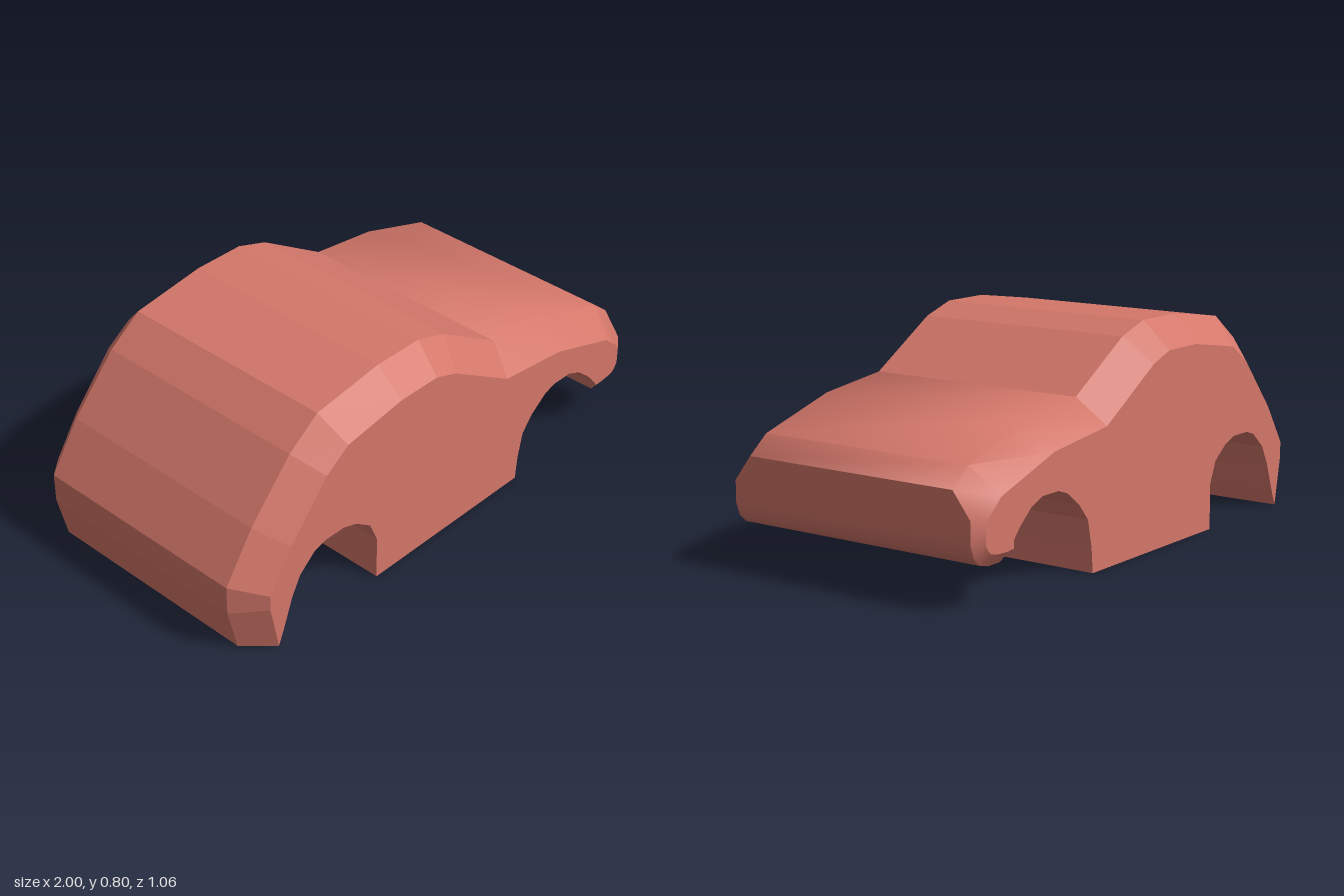
import * as THREE from 'three';
import { toCreasedNormals } from 'three/addons/utils/BufferGeometryUtils.js';

const HALF = 0.53; // half width at the flat sides

// Stations along the shell: [outer x, outer y, outer half width, side x, side y]
const cabin = [
  [-0.865, 0, 0.43, -0.865, 0],
  [-0.96, 0, 0.43, -0.865, 0],
  [-1, 0.17, 0.43, -0.9, 0.18],
  [-1, 0.28, 0.43, -0.9, 0.24],
  [-0.88, 0.46, 0.43, -0.8, 0.39],
  [-0.7, 0.66, 0.43, -0.63, 0.585],
  [-0.57, 0.755, 0.43, -0.53, 0.655],
  [-0.28, 0.797, 0.43, -0.27, 0.697],
  [-0.08, 0.797, 0.43, -0.095, 0.697],
  [0.05, 0.755, 0.43, 0.005, 0.662],
  [0.33, 0.585, 0.43, 0.29, 0.49],
];
const nose = [
  cabin[cabin.length - 1],
  [0.61, 0.55, 0.43, 0.59, 0.455],
  [0.92, 0.455, 0.43, 0.88, 0.36],
  [1, 0.39, 0.43, 0.96, 0.29],
  [1, 0.3, 0.5, 0.96, 0.285],
  [1, 0.22, 0.5, 0.96, 0.22],
  [0.985, 0.177, 0.5, 0.95, 0.2],
  [0.955, 0.148, 0.5, 0.935, 0.185],
  [0.91, 0.137, 0.5, 0.9, 0.178],
  [0.85, 0.137, 0.5, 0.84, 0.175],
  [0.835, 0.18, 0.5, 0.835, 0.18],
];
// Wheel arches and floor, front to rear
const under = [
  [0.835, 0.18], [0.82, 0.2], [0.78, 0.245], [0.72, 0.295], [0.66, 0.32],
  [0.57, 0.32], [0.52, 0.303], [0.45, 0.25], [0.4, 0.19], [0.378, 0.09], [0.37, 0],
  [-0.385, 0], [-0.385, 0.17], [-0.42, 0.25], [-0.49, 0.3], [-0.55, 0.32],
  [-0.64, 0.32], [-0.69, 0.305], [-0.76, 0.245], [-0.8, 0.17], [-0.84, 0.06], [-0.865, 0],
];

// Joins successive rows of points (ordered by rising z) into a surface
function loft(rows) {
  const pos = [];
  for (let i = 0; i < rows.length - 1; i++) {
    for (let j = 0; j < rows[i].length - 1; j++) {
      const a = rows[i][j], b = rows[i][j + 1], c = rows[i + 1][j + 1], d = rows[i + 1][j];
      pos.push(...a, ...b, ...c, ...a, ...c, ...d);
    }
  }
  const g = new THREE.BufferGeometry();
  g.setAttribute('position', new THREE.Float32BufferAttribute(pos, 3));
  g.computeVertexNormals();
  return g;
}

const ring = ([ox, oy, oz, sx, sy]) =>
  [[sx, sy, -HALF], [ox, oy, -oz], [ox, oy, oz], [sx, sy, HALF]];

export function createModel() {
  const model = new THREE.Group();
  model.name = 'carBody';
  const paint = new THREE.MeshStandardMaterial({ color: 0xd4776a });
  paint.name = 'coralRed';
  const add = (name, geometry, x = 0, y = 0, z = 0) => {
    const mesh = new THREE.Mesh(geometry, paint);
    mesh.name = name;
    mesh.position.set(x, y, z);
    model.add(mesh);
    return mesh;
  };

  // Faceted cabin, softly shaded hood and bumper, arched underside
  add('cabinShell', loft(cabin.map(ring)));
  add('hoodAndBumper', toCreasedNormals(loft(nose.map(ring)), 0.85));
  add('underside', loft(under.map(([x, y]) => [[x, y, -HALF], [x, y, HALF]])));

  // Flat side panels
  const outline = [
    ...cabin.slice(1).map((s) => [s[3], s[4]]),
    ...nose.slice(1, -1).map((s) => [s[3], s[4]]),
    ...under.slice(0, -1),
  ].map(([x, y]) => new THREE.Vector2(x, y));
  const side = new THREE.ShapeGeometry(new THREE.Shape(outline));
  add('sidePanelFront', side, 0, 0, HALF);
  const back = side.clone().rotateY(Math.PI).scale(-1, 1, 1);
  // Mirroring restores the outline but flips the faces, so reverse their corners
  const index = back.index.array;
  for (let i = 0; i < index.length; i += 3) {
    [index[i], index[i + 2]] = [index[i + 2], index[i]];
  }
  back.computeVertexNormals();
  // Keep the faces pointing outward at the back
  if (back.attributes.normal.getZ(0) > 0) {
    for (let i = 0; i < index.length; i += 3) {
      [index[i], index[i + 2]] = [index[i + 2], index[i]];
    }
    back.computeVertexNormals();
  }
  add('sidePanelBack', back, 0, 0, -HALF);

  // Axle brackets with a small pin hole
  const plate = new THREE.Shape();
  plate.moveTo(-0.041, 0.1).lineTo(0.041, 0.1).lineTo(0.041, 0.325).lineTo(-0.041, 0.325).closePath();
  plate.holes.push(new THREE.Path().absarc(0, 0.133, 0.007, 0, Math.PI * 2, true));
  const bracket = new THREE.ExtrudeGeometry(plate, { depth: 0.082, bevelEnabled: false, curveSegments: 8 });
  bracket.translate(0, 0, -0.041);
  for (const x of [-0.6, 0.615]) {
    for (const z of [-0.311, 0.311]) add('axleBracket', bracket, x, 0, z);
  }
  return model;
}
